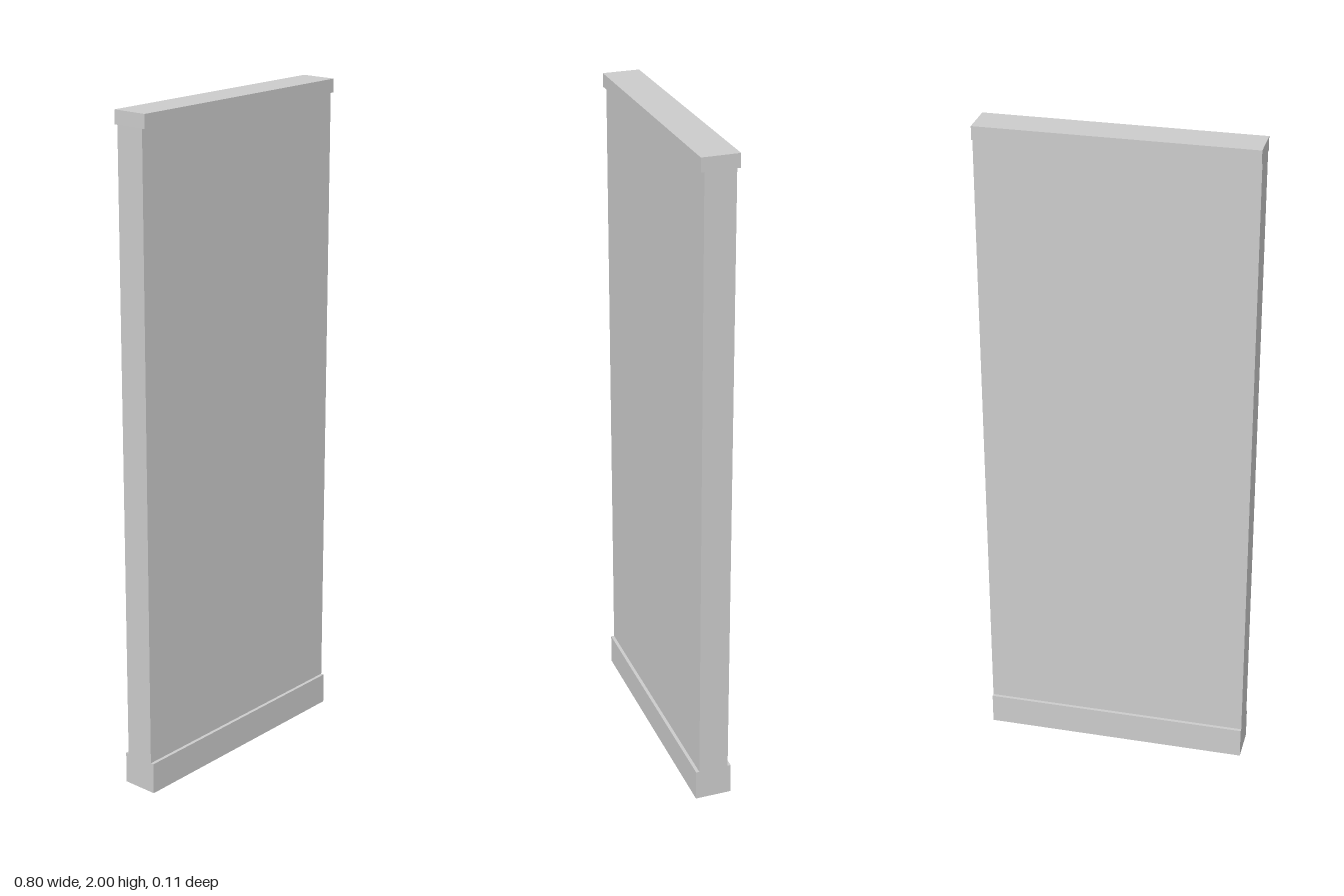
import * as THREE from 'three';

const WIDTH = 0.8;

export function createModel() {
  const group = new THREE.Group();
  group.name = 'wallPanel';

  // Half of the cross-section (depth, height), mirrored to close the outline
  const half = [
    [0.055, 0], [0.055, 0.095],   // skirting
    [0.045, 0.095], [0.045, 1.96], // wall face
    [0.055, 1.96], [0.055, 2],    // top moulding
  ];
  const outline = [...half, ...half.map(([d, h]) => [-d, h]).reverse()];
  const shape = new THREE.Shape(outline.map(([d, h]) => new THREE.Vector2(d, h)));

  // Sweep the section along the wall's width
  const geometry = new THREE.ExtrudeGeometry(shape, { depth: WIDTH, bevelEnabled: false });
  geometry.translate(0, 0, -WIDTH / 2);
  geometry.rotateY(Math.PI / 2);

  const wall = new THREE.Mesh(
    geometry,
    new THREE.MeshStandardMaterial({ color: 0xcccccc, flatShading: true })
  );
  wall.name = 'wallWithSkirtingAndMoulding';
  group.add(wall);
  return group;
}
